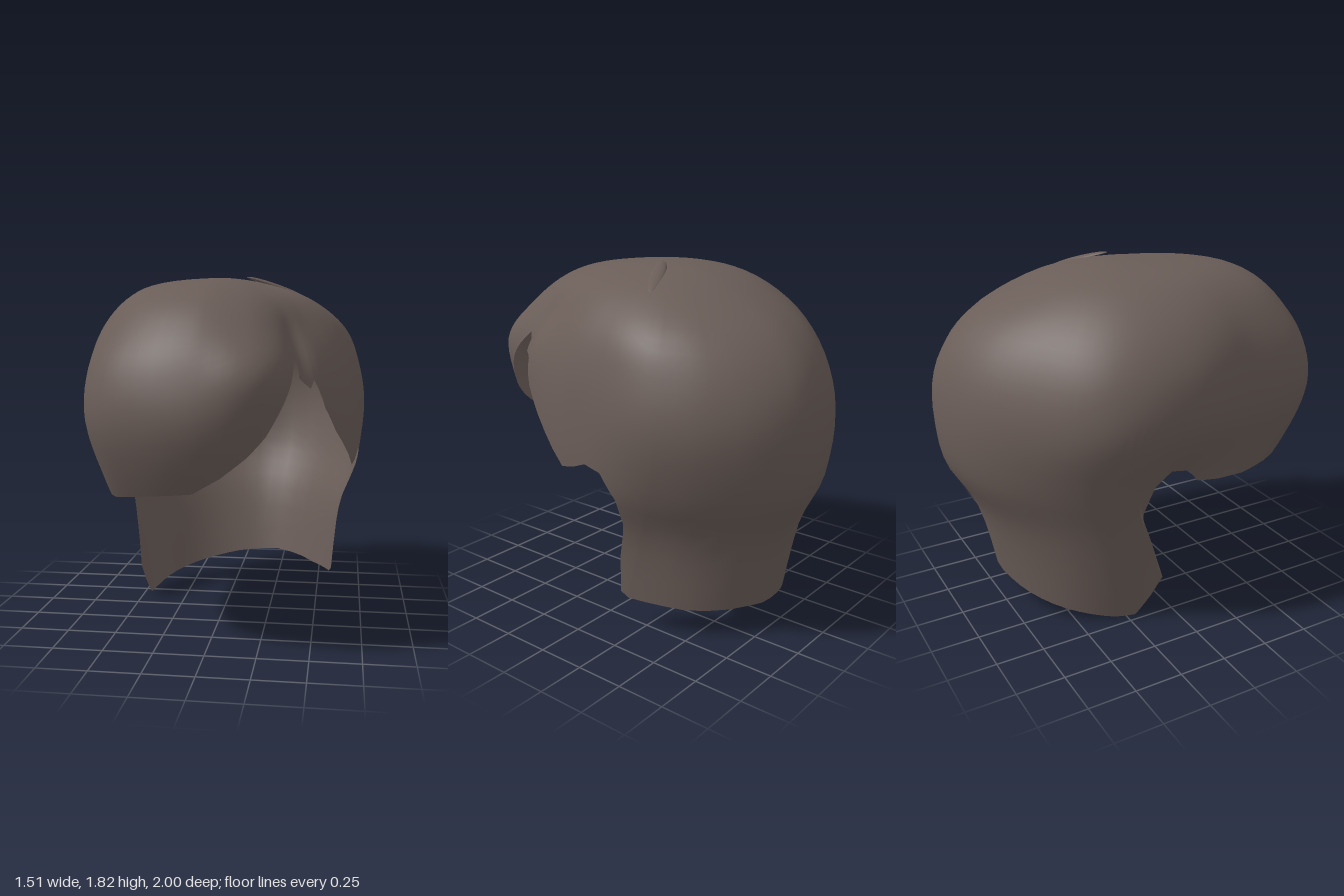
import * as THREE from 'three';

// Horizontal cross-sections: heights, and radii at the listed angles
// (0 = front, 90 = +x, 180 = back, 270 = -x), about the axis x = 0, z = AXIS_Z.
const AXIS_Z = -0.05;
const HEIGHTS = [1.81, 1.78, 1.7, 1.55, 1.35, 1.1, 0.8, 0.5, 0];
const ANGLES = [0, 15, 30, 45, 60, 90, 120, 150, 165, 180, 210, 240, 270, 300, 315, 330, 345];
const RADII = [
  ANGLES.map(() => 0),
  [0.44, 0.38, 0.3, 0.25, 0.23, 0.22, 0.24, 0.25, 0.25, 0.24, 0.25, 0.27, 0.3, 0.36, 0.39, 0.42, 0.44],
  [0.72, 0.65, 0.55, 0.48, 0.45, 0.45, 0.49, 0.5, 0.49, 0.47, 0.46, 0.47, 0.49, 0.55, 0.6, 0.67, 0.71],
  [0.905, 0.86, 0.72, 0.62, 0.59, 0.61, 0.71, 0.76, 0.76, 0.71, 0.65, 0.65, 0.65, 0.68, 0.75, 0.84, 0.89],
  [1.02, 1.03, 0.86, 0.75, 0.69, 0.69, 0.81, 0.91, 0.92, 0.86, 0.77, 0.77, 0.74, 0.75, 0.85, 0.97, 1.01],
  [1.05, 1.0, 0.85, 0.78, 0.73, 0.72, 0.85, 0.96, 0.975, 0.92, 0.82, 0.8, 0.74, 0.76, 0.87, 1.0, 1.04],
  [0.92, 0.88, 0.79, 0.75, 0.72, 0.71, 0.78, 0.9, 0.94, 0.89, 0.77, 0.7, 0.6, 0.66, 0.76, 0.88, 0.92],
  [0.7, 0.7, 0.7, 0.68, 0.66, 0.63, 0.65, 0.75, 0.78, 0.75, 0.67, 0.61, 0.53, 0.6, 0.65, 0.7, 0.7],
  [0.6, 0.6, 0.6, 0.6, 0.6, 0.58, 0.58, 0.65, 0.67, 0.64, 0.58, 0.51, 0.46, 0.47, 0.5, 0.6, 0.6],
];

// Hem, once around: [angle, height, angle the strand starts from at the crown]
const HEM = [
  // swept fringe
  [31, 1.42, 31], [27, 1.31, 27], [22.5, 1.19, 22.5], [18, 1.075, 18], [13, 0.985, 13], [6, 0.89, 6],
  [-2, 0.81, -2], [-16, 0.785, -16], [-32, 0.745, -32], [-50, 0.73, -50], [-64, 0.75, -64],
  // ear notch on the -x side
  [-77, 0.78, -77], [-85, 0.87, -86], [-95, 0.9, -95], [-102, 0.82, -103], [-107, 0.65, -110],
  [-103, 0.45, -115], [-90, 0.2, -120], [-98, 0.1, -124], [-108, 0, -128],
  // nape
  [-121, 0.01, -135], [-140, 0.05, -148], [-160, 0.09, -163], [-180, 0.13, -180],
  [-200, 0.155, -199], [-228, 0.145, -223], [-256, 0.17, -237],
  // ear notch on the +x side
  [-260, 0.2, -242], [-259, 0.4, -246], [-255, 0.6, -250], [-256, 0.75, -254], [-262, 0.88, -261],
  [-270, 0.9, -270], [-276, 0.87, -276],
  // side lock rising to the parting, with a small tab
  [-285, 0.84, -285], [-306, 1.05, -306], [-314.5, 1.17, -314.5], [-320, 1.31, -320],
  [-322, 1.27, -322], [-327.5, 1.32, -326.5], [-327, 1.38, -327.5],
];

const cubic = (p0, p1, p2, p3, f) =>
  p1 + 0.5 * f * (p2 - p0 + f * (2 * p0 - 5 * p1 + 4 * p2 - p3 + f * (3 * (p1 - p2) + p3 - p0)));

// Smooth value along the levels; `sign` mirrors the values across the crown
function alongLevels(value, t, sign) {
  const last = HEIGHTS.length - 1;
  const i = Math.min(Math.floor(t), last - 1);
  const at = (k) => (k < 0 ? sign * value(1) : k > last ? 2 * value(last) - value(last - 1) : value(k));
  return cubic(at(i - 1), at(i), at(i + 1), at(i + 2), t - i);
}

const heightAt = (t) => alongLevels((k) => HEIGHTS[k], t, 1);

// Smooth radius around one ring, through unevenly spaced angles
function ringRadius(row, angle) {
  const n = ANGLES.length;
  const s = ((angle % 360) + 360) % 360;
  const i = ANGLES.findLastIndex((a) => a <= s);
  const r = (k) => row[(k + n) % n];
  const ang = (k) => ANGLES[(k + n) % n] + 360 * Math.floor(k / n);
  const slope = (k) => (r(k + 1) - r(k - 1)) / (ang(k + 1) - ang(k - 1));
  const w = ang(i + 1) - ang(i), f = (s - ang(i)) / w;
  const g = f * f * (3 - 2 * f);
  return r(i) + (r(i + 1) - r(i)) * g + w * f * (1 - f) * (slope(i) * (1 - f) - slope(i + 1) * f);
}

// Level at which a given height is reached
function levelOf(y) {
  let lo = 0, hi = HEIGHTS.length - 1;
  for (let n = 0; n < 30; n++) {
    const mid = (lo + hi) / 2;
    if (heightAt(mid) > y) lo = mid; else hi = mid;
  }
  return lo;
}

function shellPoint(angle, t) {
  let r = alongLevels((k) => ringRadius(RADII[k], angle), t, -1);
  // groove where the fringe parts from the side lock
  const off = ((angle + 540 - 34) % 360) - 180;
  r -= 0.045 * Math.exp(-((off / 6) ** 2) - ((t - 3.8) / 1) ** 2);
  const a = THREE.MathUtils.degToRad(angle);
  return [r * Math.sin(a), heightAt(t), AXIS_Z + r * Math.cos(a)];
}

function hairGeometry(rows = 30, sub = 3) {
  const positions = [], index = [];
  const columns = HEM.length * sub;
  for (let c = 0; c < columns; c++) {
    const k = Math.floor(c / sub), f = (c % sub) / sub;
    const p = HEM[k];
    const q = k + 1 < HEM.length ? HEM[k + 1] : [HEM[0][0] - 360, HEM[0][1], HEM[0][2] - 360];
    const [hemAngle, hemY, crownAngle] = p.map((v, n) => v + (q[n] - v) * f);
    const hemLevel = levelOf(hemY);
    for (let j = 0; j <= rows; j++) {
      const v = j / rows;
      const angle = crownAngle + (hemAngle - crownAngle) * v ** 6;
      positions.push(...shellPoint(angle, v * hemLevel));
      if (j === rows) continue;
      const a = c * (rows + 1) + j;
      const b = ((c + 1) % columns) * (rows + 1) + j;
      if (j > 0) index.push(a, b, b + 1);
      index.push(a, b + 1, a + 1);
    }
  }
  const g = new THREE.BufferGeometry();
  g.setAttribute('position', new THREE.Float32BufferAttribute(positions, 3));
  g.setIndex(index);
  g.computeVertexNormals();
  // shared upright normal at the crown
  for (let c = 0; c < columns; c++) g.attributes.normal.setXYZ(c * (rows + 1), 0, 1, 0);
  return g;
}

export function createModel() {
  const group = new THREE.Group();
  group.name = 'hairstyle';
  const material = new THREE.MeshStandardMaterial({ color: 0x6a5d58, side: THREE.DoubleSide });
  const hair = new THREE.Mesh(hairGeometry(), material);
  hair.name = 'hairShell';

  // slight raised lock beside the crown
  const lock = new THREE.Mesh(new THREE.SphereGeometry(1, 24, 6, 0, Math.PI * 2, 0, Math.PI / 2), material);
  lock.name = 'crownLock';
  lock.scale.set(0.19, 0.02, 0.04);
  lock.rotation.set(0, 0.52, -0.3);
  lock.position.set(0.27, 1.76, -0.14);

  group.add(hair, lock);
  return group;
}
